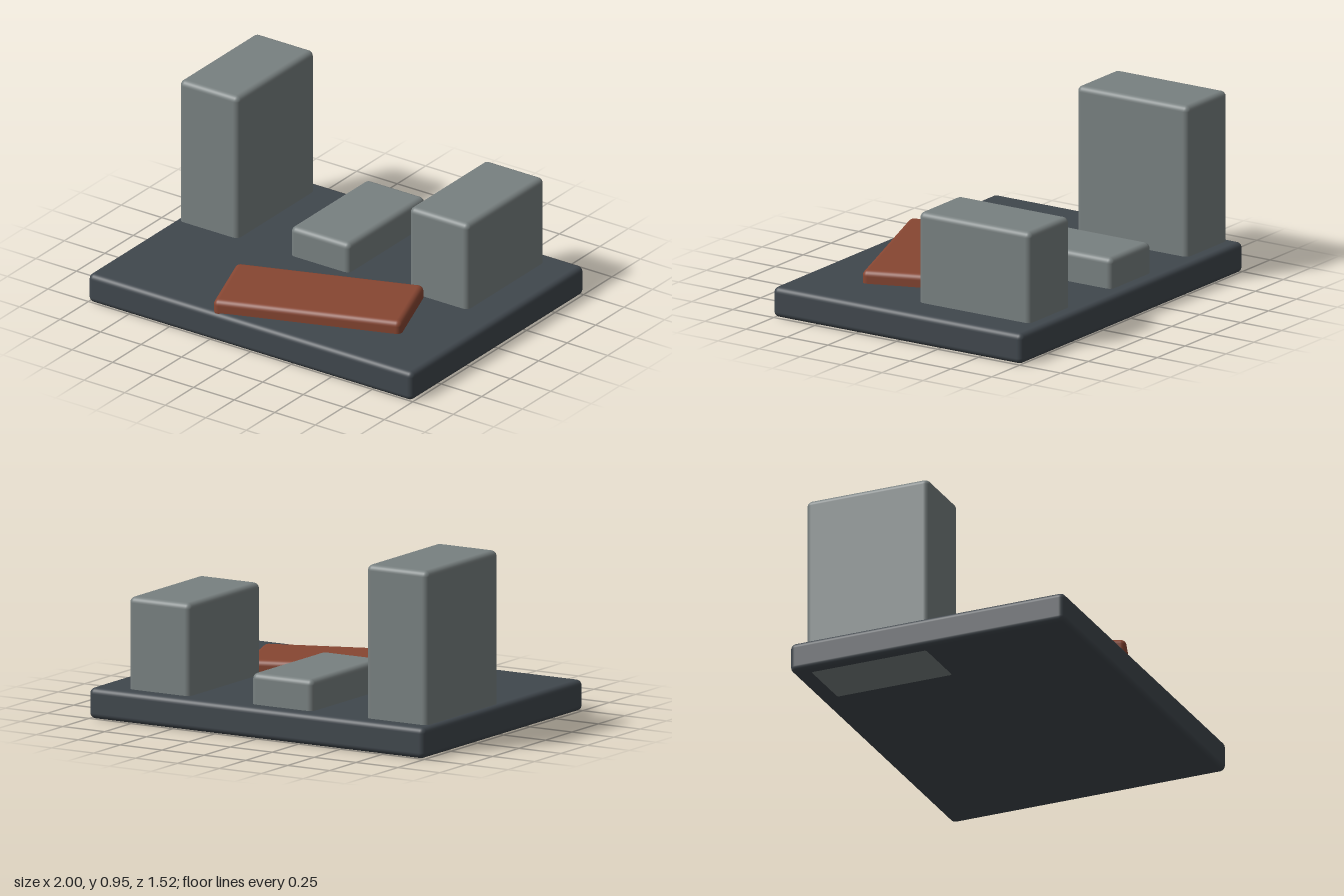
import * as THREE from 'three';
import { RoundedBoxGeometry } from 'three/addons/geometries/RoundedBoxGeometry.js';

const material = (name, color) => {
  const m = new THREE.MeshStandardMaterial({ color });
  m.name = name;
  return m;
};

export function createModel() {
  const group = new THREE.Group();
  const slate = material('dark slate', 0x40474d);
  const stone = material('stone grey', 0x788080);
  const rust = material('rust red', 0x874632);

  // Softly rounded box given by its centre in x and z and its bottom and top heights
  const block = (name, mat, width, depth, bottom, top, x, z, radius = 0.03) => {
    const geometry = new RoundedBoxGeometry(width, top - bottom, depth, 4, radius);
    const mesh = new THREE.Mesh(geometry, mat);
    mesh.name = name;
    mesh.position.set(x, (bottom + top) / 2, z);
    group.add(mesh);
    return mesh;
  };

  // Base board
  block('basePlate', slate, 2, 1.52, 0.001, 0.16, 0, 0);

  // Three upright blocks sunk into the board; the tall one reaches its underside
  block('tallBlock', stone, 0.365, 0.68, 0, 0.95, -0.79, -0.342);
  block('lowBlock', stone, 0.365, 0.68, 0.003, 0.32, -0.105, -0.342);
  block('mediumBlock', stone, 0.365, 0.68, 0.003, 0.635, 0.628, -0.342);

  // Turned slab lying at the front
  const slab = block('angledSlab', rust, 0.985, 0.46, 0.13, 0.227, 0.155, 0.373);
  slab.rotation.y = THREE.MathUtils.degToRad(20);

  return group;
}
